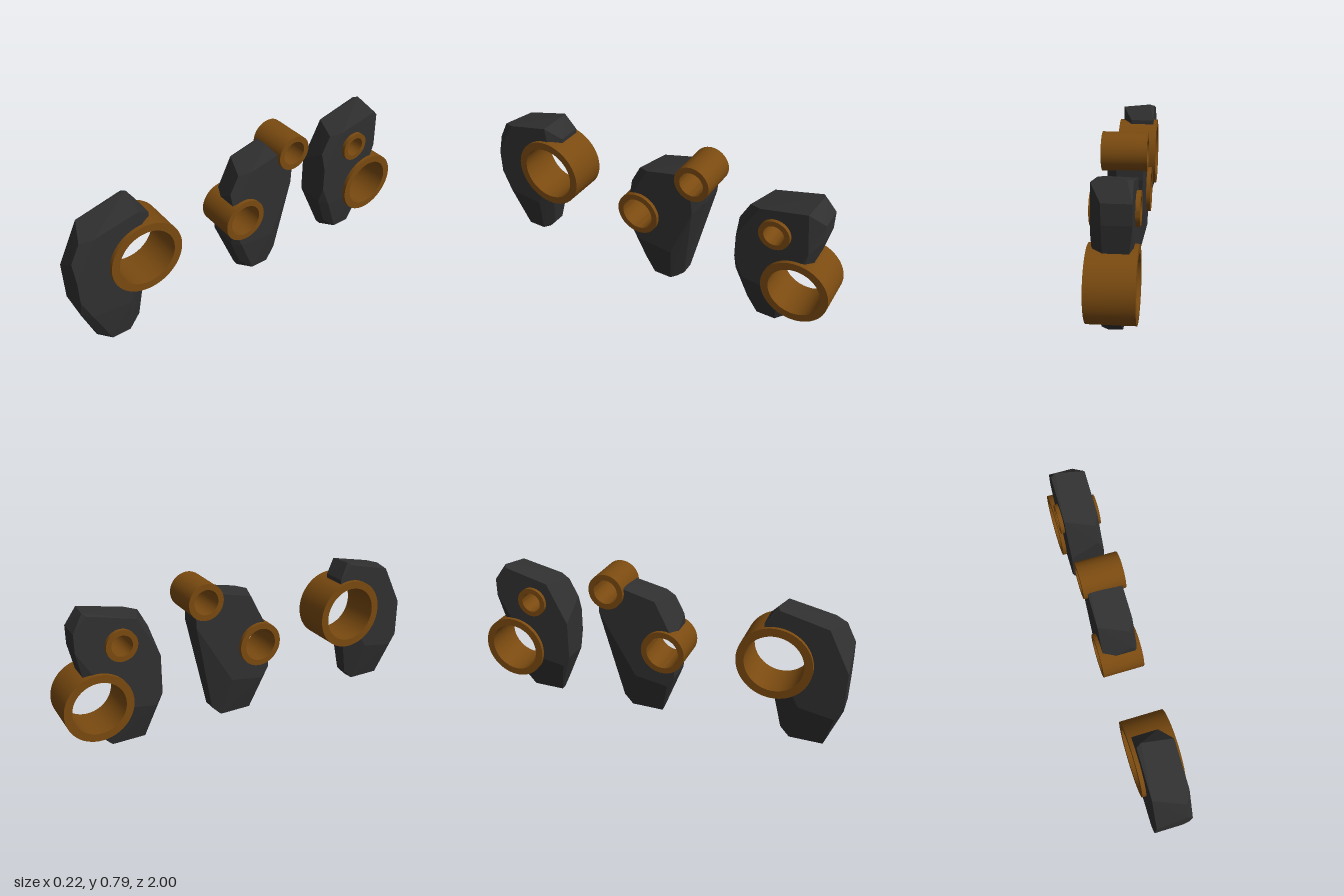
import * as THREE from 'three';
import { ConvexGeometry } from 'three/addons/geometries/ConvexGeometry.js';
import { toCreasedNormals } from 'three/addons/utils/BufferGeometryUtils.js';

const rockMaterial = new THREE.MeshStandardMaterial({ color: 0x303030, flatShading: true });
const ringMaterial = new THREE.MeshStandardMaterial({ color: 0x7a4a10 });

// Corners of one chipped stone slab
const corners = [
  // front face
  [0.06, 0.56, 1], [0.09, 0.47, 1], [0.09, 0.34, 1], [0.06, 0.24, 1], [-0.09, 0.455, 1], [-0.09, 0.25, 1],
  // front shoulder and crown
  [-0.09, 0.67, 0.89], [0.06, 0.655, 0.95], [0.09, 0.67, 0.89],
  [-0.09, 0.73, 0.65], [-0.065, 0.74, 0.635], [0.09, 0.72, 0.655],
  // back face and its chamfer
  [-0.09, 0.655, 0.58], [-0.09, 0.56, 0.58], [0.04, 0.655, 0.58], [0.04, 0.56, 0.58], [0.09, 0.5, 0.63],
  // lower sides
  [0.09, 0.22, 0.95], [0.09, 0.2, 0.75], [-0.09, 0.19, 0.96], [-0.09, 0.22, 0.78],
  // foot
  [0.04, 0.06, 0.93], [-0.035, 0, 0.915], [-0.005, 0, 0.915], [0.065, 0, 0.86], [0.065, 0, 0.76],
  [0.03, 0, 0.735], [-0.035, 0, 0.74], [0.04, 0.05, 0.69], [-0.03, 0.05, 0.69],
];

// Splits a convex polygon by a signed distance into [outside, inside]
function split(poly, dist) {
  const out = [], inn = [];
  poly.forEach((a, i) => {
    const b = poly[(i + 1) % poly.length];
    const da = dist(a), db = dist(b);
    (da >= 0 ? out : inn).push(a);
    if ((da >= 0) !== (db >= 0)) {
      const p = a.clone().lerp(b, da / (da - db));
      out.push(p);
      inn.push(p.clone());
    }
  });
  return [out, inn];
}

// Removes a round bore along x from a list of convex polygons
function drill(polys, { y, z, outer, inner }, sides = 32) {
  const r = (outer + inner) / 2;
  const kept = [];
  for (let rest of polys) {
    for (let k = 0; k < sides && rest.length > 2; k++) {
      const a = (k / sides) * Math.PI * 2;
      const [out, inn] = split(rest, (p) => (p.z - z) * Math.cos(a) + (p.y - y) * Math.sin(a) - r);
      if (out.length > 2) kept.push(out);
      rest = inn;
    }
  }
  return kept;
}

// Stone slab shifted along z, with bores where its rings sit
function makeRock(shift, rings) {
  const hull = new ConvexGeometry(corners.map(([x, y, z]) => new THREE.Vector3(x, y, z + shift)));
  const pos = hull.attributes.position;
  let polys = [];
  for (let i = 0; i < pos.count; i += 3) {
    polys.push([0, 1, 2].map((j) => new THREE.Vector3().fromBufferAttribute(pos, i + j)));
  }
  for (const ring of rings) polys = drill(polys, ring);
  const points = [];
  for (const p of polys) {
    for (let i = 1; i < p.length - 1; i++) points.push(p[0], p[i], p[i + 1]);
  }
  const geometry = new THREE.BufferGeometry().setFromPoints(points);
  geometry.computeVertexNormals();
  const mesh = new THREE.Mesh(geometry, rockMaterial);
  mesh.name = 'rock';
  return mesh;
}

// Short open sleeve lying along x
function makeRing({ y, z, outer, inner }) {
  const h = 0.11;
  const profile = [[inner, -h], [outer, -h], [outer, h], [inner, h], [inner, -h]];
  const lathe = new THREE.LatheGeometry(profile.map(([r, t]) => new THREE.Vector2(r, t)), 56);
  const mesh = new THREE.Mesh(toCreasedNormals(lathe, 0.6), ringMaterial);
  mesh.rotation.z = Math.PI / 2;
  mesh.position.set(0, y, z);
  mesh.name = 'ring';
  return mesh;
}

export function createModel() {
  const model = new THREE.Group();
  model.name = 'ringedRocks';
  const stones = [
    { name: 'frontStone', shift: 0, rings: [{ y: 0.45, z: 0.643, outer: 0.192, inner: 0.15 }] },
    {
      name: 'middleStone', shift: -0.877, rings: [
        { y: 0.69, z: -0.248, outer: 0.095, inner: 0.065 },
        { y: 0.397, z: 0.063, outer: 0.118, inner: 0.087 },
      ],
    },
    {
      name: 'backStone', shift: -1.493, rings: [
        { y: 0.558, z: -0.692, outer: 0.08, inner: 0.053 },
        { y: 0.26, z: -0.825, outer: 0.175, inner: 0.135 },
      ],
    },
  ];
  for (const { name, shift, rings } of stones) {
    const group = new THREE.Group();
    group.name = name;
    group.add(makeRock(shift, rings), ...rings.map(makeRing));
    model.add(group);
  }
  return model;
}
